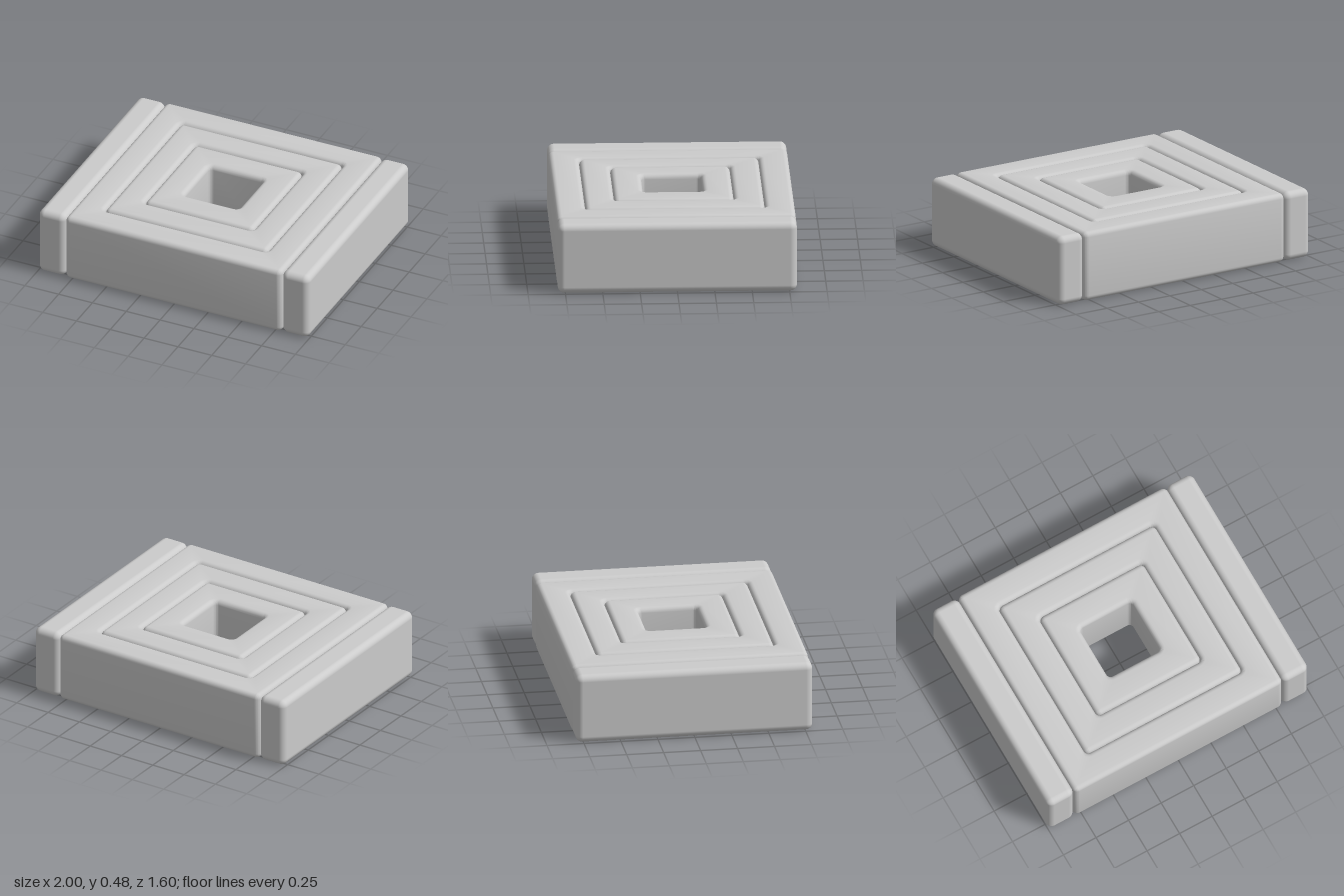
import * as THREE from 'three';
import { toCreasedNormals } from 'three/addons/utils/BufferGeometryUtils.js';
import { RoundedBoxGeometry } from 'three/addons/geometries/RoundedBoxGeometry.js';

const HEIGHT = 0.48;
const material = new THREE.MeshStandardMaterial({ color: 0xcccccc });

// Square outline with rounded corners, centred on the origin
function roundedSquare(path, half, radius) {
  const k = half - radius;
  path.moveTo(k, -half);
  path.absarc(k, -k, radius, -Math.PI / 2, 0);
  path.absarc(k, k, radius, 0, Math.PI / 2);
  path.absarc(-k, k, radius, Math.PI / 2, Math.PI);
  path.absarc(-k, -k, radius, Math.PI, Math.PI * 1.5);
  return path;
}

// Upright square ring with softened edges inside and out
function squareRing(outer, inner, bevel = 0.035) {
  const shape = roundedSquare(new THREE.Shape(), outer, bevel + 0.003);
  shape.holes.push(roundedSquare(new THREE.Path(), inner, 0.03));
  const geometry = new THREE.ExtrudeGeometry(shape, {
    depth: HEIGHT - 2 * bevel,
    curveSegments: 6,
    bevelThickness: bevel,
    bevelSize: bevel,
    bevelOffset: -bevel,
    bevelSegments: 5,
  });
  geometry.rotateX(-Math.PI / 2);
  geometry.translate(0, bevel, 0);
  return toCreasedNormals(geometry, 0.7);
}

export function createModel() {
  const model = new THREE.Group();
  model.name = 'nestedBlock';

  const add = (name, geometry) => {
    const mesh = new THREE.Mesh(geometry, material);
    mesh.name = name;
    model.add(mesh);
    return mesh;
  };

  // Three concentric rings around an open square shaft
  add('outerRing', squareRing(0.8, 0.6));
  add('middleRing', squareRing(0.6, 0.4));
  add('innerRing', squareRing(0.4, 0.2));

  // Bars along both sides
  const bar = new RoundedBoxGeometry(0.2, HEIGHT, 1.6, 5, 0.045);
  for (const [name, side] of [['leftBar', 1], ['rightBar', -1]]) {
    add(name, bar).position.set(side * 0.9, HEIGHT / 2, 0);
  }

  return model;
}
